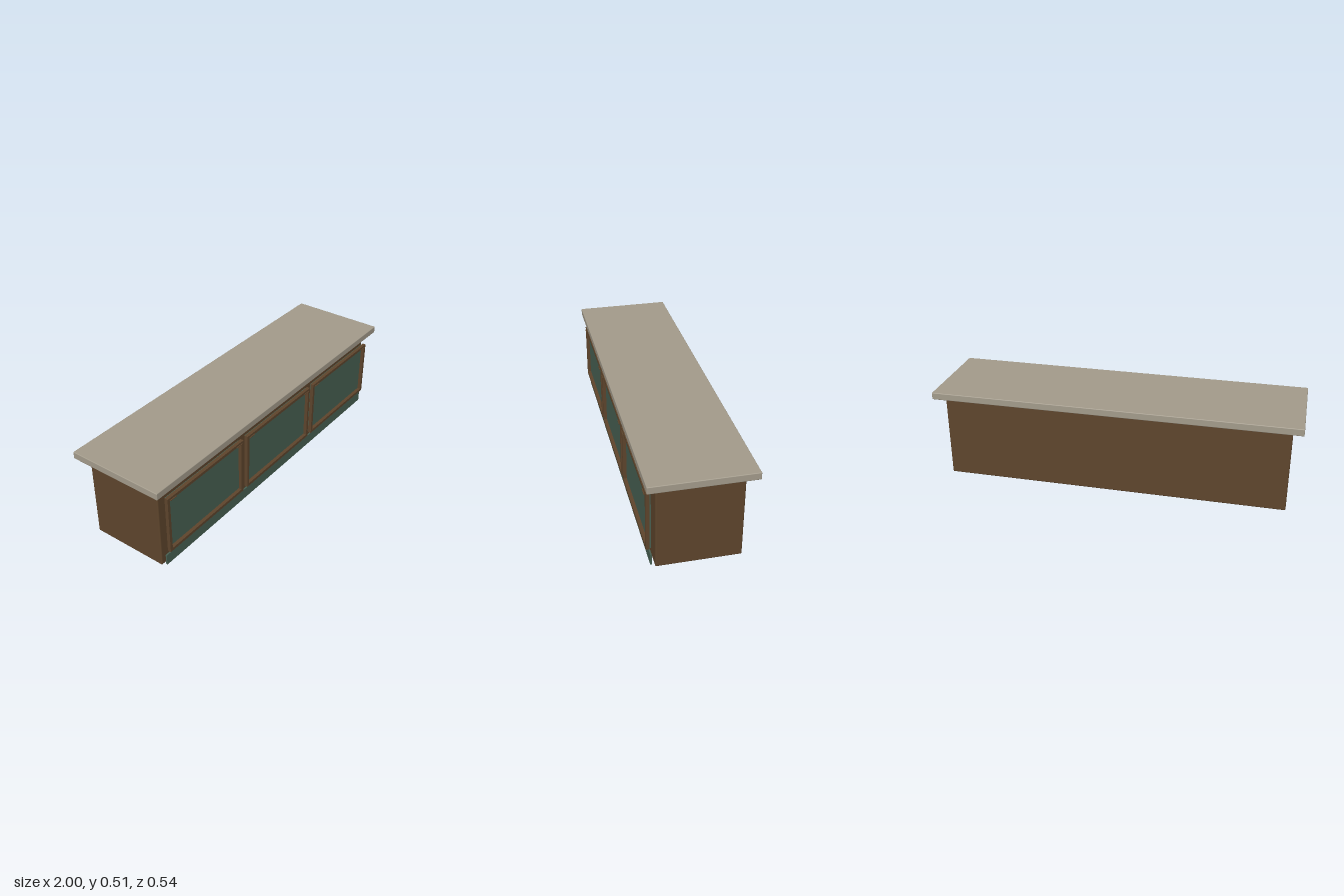
import * as THREE from 'three';
import { RoundedBoxGeometry } from 'three/addons/geometries/RoundedBoxGeometry.js';

const material = (name, color) => {
  const m = new THREE.MeshStandardMaterial({ color });
  m.name = name;
  return m;
};

export function createModel() {
  const stone = material('stone', 0xa39b8b);
  const wood = material('brown wood', 0x5e452c);
  const green = material('green paint', 0x486052);
  const model = new THREE.Group();
  model.name = 'counter';

  const add = (name, geometry, mat, x, y, z, parent = model) => {
    const mesh = new THREE.Mesh(geometry, mat);
    mesh.name = name;
    mesh.position.set(x, y, z);
    parent.add(mesh);
    return mesh;
  };

  // Cabinet body and the overhanging slab floating just above it
  add('body', new RoundedBoxGeometry(1.89, 0.46, 0.432, 2, 0.007), wood, 0, 0.23, 0);
  add('countertop', new RoundedBoxGeometry(2, 0.039, 0.536, 2, 0.004), stone, 0, 0.4925, 0);

  // Kick board along the foot of the front
  add('kickBoard', new THREE.BoxGeometry(1.86, 0.06, 0.008), green, 0, 0.036, 0.234);

  // Rectangular moulding with an open centre
  const w = 0.59, h = 0.328, bar = 0.016;
  const rectangle = (Type, a, b) => new Type([
    new THREE.Vector2(-a, -b), new THREE.Vector2(a, -b),
    new THREE.Vector2(a, b), new THREE.Vector2(-a, b),
  ]);
  const frameShape = rectangle(THREE.Shape, w / 2, h / 2);
  frameShape.holes.push(rectangle(THREE.Path, w / 2 - bar, h / 2 - bar));
  const frameGeometry = new THREE.ExtrudeGeometry(frameShape, { depth: 0.019, bevelEnabled: false });
  const panelGeometry = new THREE.BoxGeometry(0.57, 0.322, 0.008);
  const tabGeometry = new THREE.BoxGeometry(0.045, 0.003, 0.005);

  // Three framed front panels
  for (const x of [-0.625, 0, 0.625]) {
    const door = new THREE.Group();
    door.name = 'frontPanel';
    door.position.x = x;
    model.add(door);
    add('panel', panelGeometry, green, 0, 0.253, 0.234, door);
    add('panelFrame', frameGeometry, wood, 0, 0.256, 0.238, door);
    // Small trim strips at the upper corners
    for (const side of [-1, 1]) {
      add('cornerTrim', tabGeometry, wood, side * 0.258, 0.4065, 0.2595, door);
    }
  }
  return model;
}
